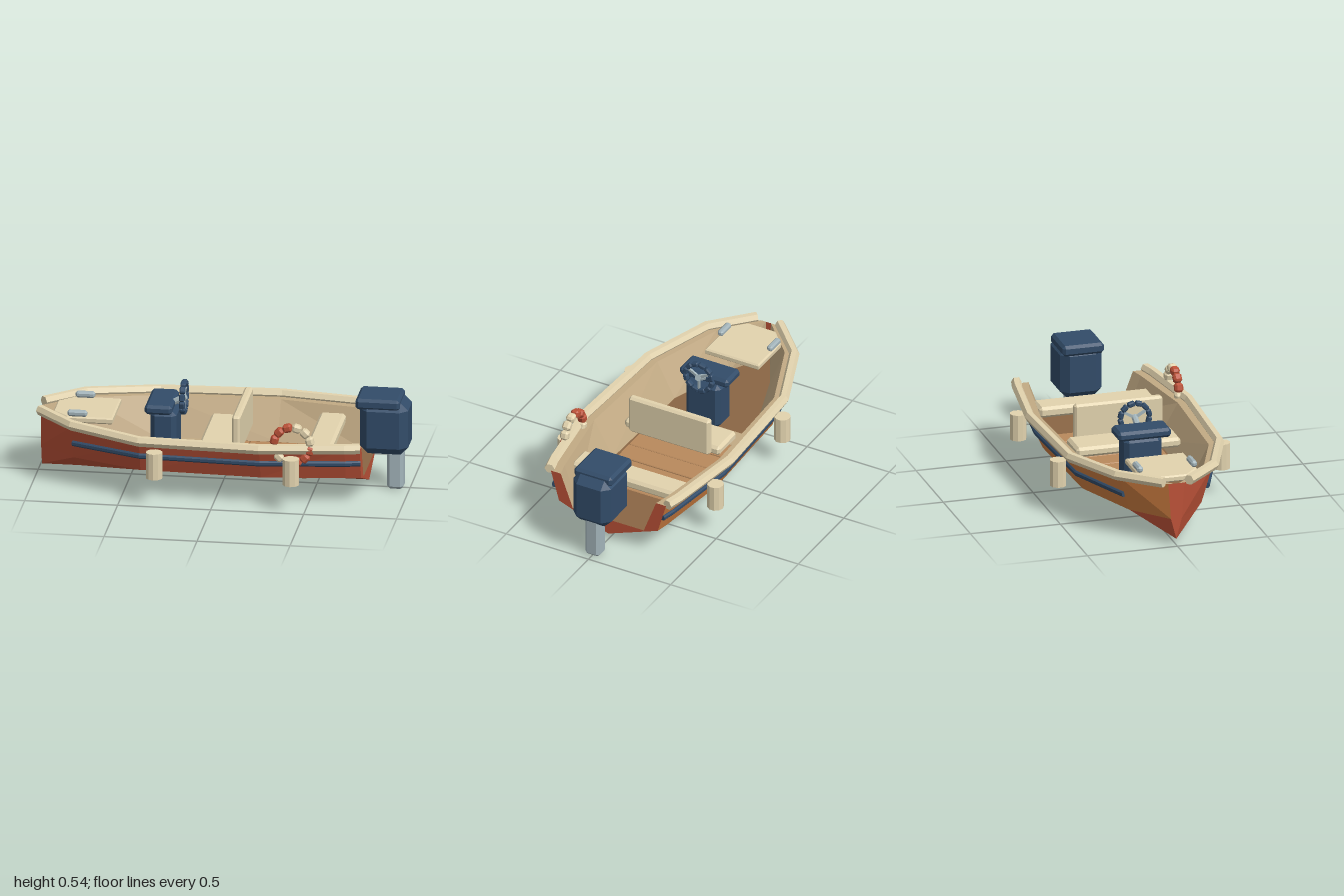
import * as THREE from 'three';
import { ConvexGeometry } from 'three/addons/geometries/ConvexGeometry.js';

const mat = (name, color, side = THREE.FrontSide) => {
  const m = new THREE.MeshStandardMaterial({ color, flatShading: true, side });
  m.name = name;
  return m;
};

// Hull stations: x, gunwale half width, gunwale height, chine, liner top, floor half widths
const STATIONS = [
  [-0.98, 0.045, 0.35, 0.03, 0.015, 0.008],
  [-0.78, 0.26, 0.345, 0.20, 0.21, 0.12],
  [-0.40, 0.405, 0.325, 0.345, 0.355, 0.25],
  [0.25, 0.435, 0.325, 0.37, 0.38, 0.265],
  [0.70, 0.37, 0.325, 0.315, 0.31, 0.235],
  [0.78, 0.35, 0.325, 0.30, 0.29, 0.215],
].map(([x, t, y, c, i, f]) => ({ x, t, y, c, i, f }));
const CHINE_Y = 0.15, KEEL_Y = 0.035, FLOOR_Y = 0.125;

function geometryFrom(points, index) {
  const g = new THREE.BufferGeometry();
  g.setAttribute('position', new THREE.Float32BufferAttribute(points.flat(), 3));
  g.setIndex(index);
  const flat = g.toNonIndexed();
  flat.computeVertexNormals();
  return flat;
}

// Surface between two lines of points
function ruled(a, b) {
  const index = [], n = a.length;
  for (let i = 0; i < n - 1; i++) index.push(i, n + i, i + 1, n + i, n + i + 1, i + 1);
  return geometryFrom([...a, ...b], index);
}

// Sweep a section of [outward, up] points along a path running toward the stern
function sweep(path, section) {
  const pts = [], index = [], m = section.length, last = path.length - 1;
  path.forEach((p, i) => {
    const a = path[Math.max(0, i - 1)], b = path[Math.min(last, i + 1)];
    const dx = b[0] - a[0], dz = b[2] - a[2], l = Math.hypot(dx, dz);
    for (const [o, u] of section) pts.push([p[0] - dz / l * o, p[1] + u, p[2] + dx / l * o]);
  });
  for (let i = 0; i < last; i++) for (let j = 0; j < m; j++) {
    const a = i * m + j, b = i * m + (j + 1) % m;
    index.push(a, b, b + m, a, b + m, a + m);
  }
  for (let j = 1; j < m - 1; j++) {
    index.push(0, j + 1, j);
    index.push(last * m, last * m + j, last * m + j + 1);
  }
  return geometryFrom(pts, index);
}

// Mirror across the centre line, keeping faces outward
function mirrored(geometry) {
  const p = geometry.attributes.position, pts = [], index = [];
  for (let i = 0; i < p.count; i++) pts.push([p.getX(i), p.getY(i), -p.getZ(i)]);
  for (let i = 0; i < p.count; i += 3) index.push(i, i + 2, i + 1);
  return geometryFrom(pts, index);
}

// Box with every edge cut at 45 degrees
function chamferBox(w, h, d, r) {
  const pts = [];
  for (const x of [-w / 2, w / 2]) for (const y of [-h / 2, h / 2]) for (const z of [-d / 2, d / 2]) {
    const [sx, sy, sz] = [x, y, z].map(v => Math.sign(v) * r);
    pts.push(new THREE.Vector3(x, y - sy, z - sz), new THREE.Vector3(x - sx, y, z - sz),
      new THREE.Vector3(x - sx, y - sy, z));
  }
  return new ConvexGeometry(pts);
}

export function createModel() {
  const boat = new THREE.Group();
  boat.name = 'motorBoat';
  const D = THREE.DoubleSide;
  const red = mat('hullRed', 0xbc5238, D);
  const orange = mat('sideOrangeBrown', 0xcb7c40, D);
  const cream = mat('cream', 0xe2d3ae);
  const liner = mat('linerBeige', 0xc2aa84, D);
  const floorBrown = mat('floorBrown', 0x8a6644, D);
  const plank = mat('plankBrown', 0xb8895c);
  const navy = mat('navy', 0x324c69);
  const grey = mat('metalGrey', 0xa3b4ba);

  const add = (name, geometry, material, x = 0, y = 0, z = 0, parent = boat) => {
    const m = new THREE.Mesh(geometry, material);
    m.name = name;
    m.position.set(x, y, z);
    parent.add(m);
    return m;
  };
  // Chamfered box given by its limits on each axis
  const box = (name, material, [x0, x1], [y0, y1], [z0, z1], r = 0.01) =>
    add(name, chamferBox(x1 - x0, y1 - y0, z1 - z0, r), material,
      (x0 + x1) / 2, (y0 + y1) / 2, (z0 + z1) / 2);
  const pair = (name, geometry, material, other = material) => {
    add(name + 'Left', geometry, material);
    add(name + 'Right', mirrored(geometry), other);
  };
  // Ring in the xy plane made of twelve chamfered blocks
  const blockRing = (name, radius, [w, h, d], r, materialAt) => {
    const ring = new THREE.Group();
    ring.name = name;
    const block = chamferBox(w, h, d, r);
    for (let i = 0; i < 12; i++) {
      const a = (i + 0.5) * Math.PI / 6;
      add(name + 'Block', block, materialAt(i), radius * Math.cos(a), radius * Math.sin(a), 0, ring)
        .rotation.z = a;
    }
    boat.add(ring);
    return ring;
  };

  // Hull shell, open at the stern
  const line = f => STATIONS.map(f);
  const gunwale = line(s => [s.x, s.y, s.t]);
  const chine = line(s => [s.x, CHINE_Y, s.c]);
  const keel = line(s => [s.x, KEEL_Y, 0]);
  const linerTop = line(s => [s.x, s.y, s.i]);
  const floorEdge = line(s => [s.x, FLOOR_Y, s.f]);
  const floorMid = line(s => [s.x, FLOOR_Y, 0]);
  pair('hullSide', ruled(gunwale, chine), red, orange);
  pair('hullBottom', ruled(chine, keel), red);
  pair('innerWall', ruled(floorEdge, linerTop), liner);
  pair('rim', ruled(linerTop, gunwale).scale(1, 1, 1), liner);
  pair('floor', ruled(floorMid, floorEdge), floorBrown);

  // Stem closing the bow, and the U-shaped stern edge
  const b = STATIONS[0];
  add('stem', geometryFrom([[b.x, b.y, -b.t], [b.x, b.y, b.t], [b.x, CHINE_Y, b.c],
    [b.x, KEEL_Y, 0], [b.x, CHINE_Y, -b.c]], [0, 4, 1, 4, 2, 1, 4, 3, 2]), red);
  const s = STATIONS[5];
  const half = [[s.t, s.y], [s.c, CHINE_Y], [0, KEEL_Y], [0, FLOOR_Y], [s.f, FLOOR_Y], [s.i, s.y]];
  const transom = geometryFrom(half.map(([z, y]) => [s.x, y, z]),
    [0, 1, 4, 0, 4, 5, 1, 2, 4, 2, 3, 4]);
  pair('sternEdge', transom, red);

  // Gunwale rails with a six-sided section
  const railPath = STATIONS.map(p => [p.x, p.y + 0.01, p.t + 0.008]);
  railPath[0] = [-0.98, 0.362, 0.07];
  pair('gunwaleRail', sweep(railPath, [[-0.014, 0.025], [0.014, 0.025], [0.028, 0],
    [0.014, -0.025], [-0.014, -0.025], [-0.028, 0]]), cream);

  // Rubbing strips along the sides
  const stripPath = STATIONS.slice(1).map(p => [p.x, 0.242,
    p.c + (p.t - p.c) * (0.242 - CHINE_Y) / (p.y - CHINE_Y) + 0.003]);
  pair('rubbingStrip', sweep(stripPath, [[-0.008, 0.015], [0.006, 0.015], [0.013, 0.007],
    [0.013, -0.007], [0.006, -0.015], [-0.008, -0.015]]), navy);

  // Floor planks
  [-0.215, -0.09, 0.04, 0.165, 0.295, 0.42].forEach((x, i) =>
    box('floorPlank', i ? plank : liner, [x - 0.061, x + 0.061], [0.112, 0.13], [-0.25, 0.25], 0.004));

  // Bow deck with cleats
  const deck = new THREE.Shape([[-0.9, -0.08], [-0.82, -0.155], [-0.585, -0.155],
    [-0.585, 0.155], [-0.82, 0.155], [-0.9, 0.08]].map(p => new THREE.Vector2(...p)));
  const deckGeo = new THREE.ExtrudeGeometry(deck, { depth: 0.02, bevelThickness: 0.008,
    bevelSize: 0.008, bevelSegments: 1 });
  deckGeo.rotateX(-Math.PI / 2);
  add('bowDeck', deckGeo, cream, 0, 0.338, 0);
  for (const k of [-1, 1])
    box('cleat', grey, [-0.82, -0.715], [0.366, 0.4], [k * 0.15 - 0.017, k * 0.15 + 0.017], 0.01);

  // Benches and backrest
  box('middleBench', cream, [-0.11, 0.085], [0.21, 0.265], [-0.29, 0.29], 0.015);
  box('backrest', cream, [0.075, 0.12], [0.22, 0.44], [-0.245, 0.245], 0.012);
  box('sternBench', cream, [0.47, 0.61], [0.23, 0.29], [-0.32, 0.32], 0.015);

  // Steering console and wheel
  box('consolePedestal', navy, [-0.385, -0.245], [0.125, 0.395], [-0.105, 0.105], 0.025);
  box('consoleTop', navy, [-0.408, -0.262], [0.39, 0.442], [-0.148, 0.148], 0.015);
  const wheel = blockRing('steeringWheel', 0.08, [0.027, 0.04, 0.03], 0.006, () => navy);
  wheel.position.set(-0.216, 0.45, 0);
  wheel.rotation.y = Math.PI / 2;
  for (let i = 0; i < 3; i++) {
    const spoke = new THREE.BoxGeometry(0.012, 0.075, 0.014);
    spoke.translate(0, -0.0375, 0);
    add('wheelSpoke', spoke, grey, -0.216, 0.45, 0).rotation.x = i * Math.PI * 2 / 3;
  }
  const shaft = add('wheelShaft', new THREE.CylinderGeometry(0.018, 0.018, 0.08, 8), grey, -0.24, 0.435, 0);
  shaft.rotation.z = -1.1;

  // Life ring in alternating quarters
  const lifeRing = blockRing('lifeRing', 0.098, [0.044, 0.05, 0.046], 0.011,
    i => (Math.floor(i / 3) % 2 ? red : cream));
  lifeRing.position.set(0.425, 0.355, 0.408);

  // Fenders hung on both sides
  for (const x of [-0.31, 0.425]) for (const k of [-1, 1])
    add('fender', new THREE.CylinderGeometry(0.045, 0.045, 0.145, 10), cream, x, 0.222, k * 0.455);

  // Outboard motor
  box('motorBody', navy, [0.74, 1.0], [0.21, 0.5], [-0.115, 0.115], 0.042);
  box('motorCap', navy, [0.72, 0.958], [0.465, 0.525], [-0.115, 0.115], 0.015);
  box('motorLeg', grey, [0.88, 0.968], [0, 0.24], [-0.044, 0.044], 0.016);

  return boat;
}
